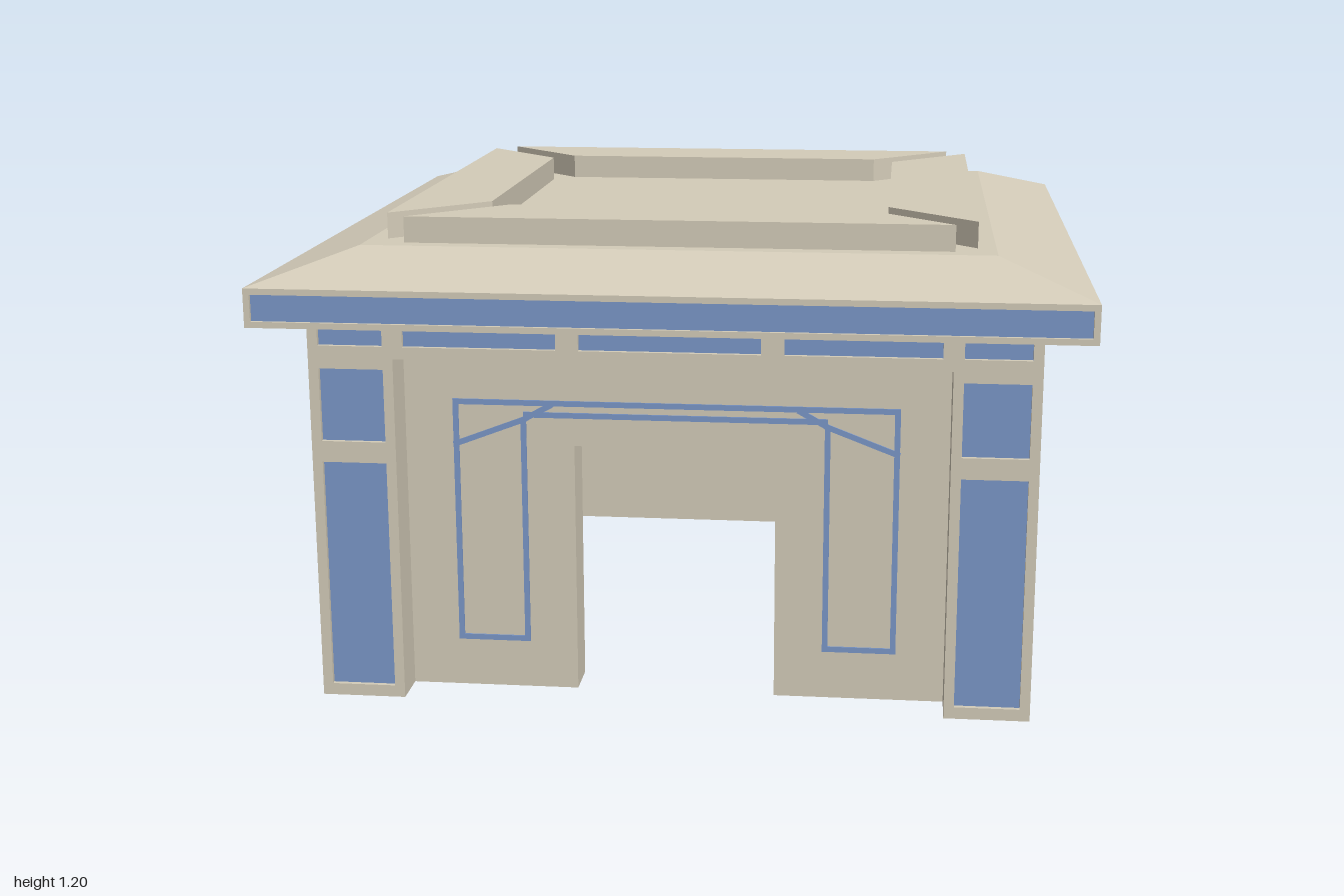
import * as THREE from 'three';

const stone = new THREE.MeshStandardMaterial({ color: 0xd4ccb9, flatShading: true });
const blue = new THREE.MeshStandardMaterial({ color: 0x7b97c8, flatShading: true });

function add(parent, name, geometry, material = stone) {
  const mesh = new THREE.Mesh(geometry, material);
  mesh.name = name;
  parent.add(mesh);
  return mesh;
}

// box given by its minimum and maximum corners
function box(parent, name, [x0, y0, z0], [x1, y1, z1], material) {
  const mesh = add(parent, name, new THREE.BoxGeometry(x1 - x0, y1 - y0, z1 - z0), material);
  mesh.position.set((x0 + x1) / 2, (y0 + y1) / 2, (z0 + z1) / 2);
  return mesh;
}

const toPath = (Type, points) => new Type(points.map(([x, y]) => new THREE.Vector2(x, y)));
const rect = ([x0, y0, x1, y1]) => [[x0, y0], [x1, y0], [x1, y1], [x0, y1]];

// plate with rectangular holes, its outer face at z = front
function plate(parent, name, outline, holes, front, depth) {
  const shape = toPath(THREE.Shape, outline);
  shape.holes = holes.map((h) => toPath(THREE.Path, rect(h).reverse()));
  const geometry = new THREE.ExtrudeGeometry(shape, { depth, bevelEnabled: false });
  add(parent, name, geometry.translate(0, 0, front - depth));
}

// blue inlay lying at the bottom of a recess
function inlay(parent, name, [x0, y0, x1, y1], front) {
  box(parent, name, [x0, y0, front - 0.004], [x1, y1, front], blue);
}

// flat strip from a to b on the front wall
function strip(parent, a, b, width = 0.014) {
  const dx = b[0] - a[0], dy = b[1] - a[1];
  const mesh = add(parent, 'doorTrim', new THREE.BoxGeometry(Math.hypot(dx, dy) + width, width, 0.008), blue);
  mesh.position.set((a[0] + b[0]) / 2, (a[1] + b[1]) / 2, 0.78);
  mesh.rotation.z = Math.atan2(dy, dx);
}

// pillars, top band, cornice edge and roof ridge of one side, built facing +z
function buildSide(isFront) {
  const side = new THREE.Group();
  const panels = [];
  for (const s of [-1, 1]) {
    const [x0, x1] = s > 0 ? [0.7, 0.86] : [-0.86, -0.7];
    panels.push([x0, 0.03, x1, 0.612], [x0, 0.665, x1, 0.848], [x0, 0.905, x1, 0.945]);
  }
  if (isFront) panels.push([-0.65, 0.905, -0.275, 0.945], [-0.22, 0.905, 0.22, 0.945], [0.275, 0.905, 0.65, 0.945]);
  else panels.push([-0.65, 0.905, 0.65, 0.945]);

  const outline = [[-0.885, 0], [-0.675, 0], [-0.675, 0.875], [0.675, 0.875],
    [0.675, 0], [0.885, 0], [0.885, 0.97], [-0.885, 0.97]];
  plate(side, 'pillarFacing', outline, panels, 0.885, 0.015);
  panels.forEach((p) => inlay(side, 'facingInlay', p, 0.873));
  box(side, 'cornerPillar', [0.675, 0, 0.675], [0.87, 0.97, 0.87]);
  box(side, 'topBand', [-0.68, 0.875, 0.67], [0.68, 0.97, 0.87]);

  // cornice edge with a long inlay
  const edge = [-0.985, 0.985, 0.985, 1.05];
  plate(side, 'corniceEdge', rect([-1, 0.97, 1, 1.065]), [edge], 1, 0.012);
  inlay(side, 'corniceInlay', edge, 0.991);

  // raised trapezoid on the roof
  const ridge = toPath(THREE.Shape, [[-0.675, -0.73], [0.675, -0.73], [0.455, -0.51], [-0.455, -0.51]]);
  const ridgeGeometry = new THREE.ExtrudeGeometry(ridge, { depth: 0.08, bevelEnabled: false });
  add(side, 'roofRidge', ridgeGeometry.rotateX(-Math.PI / 2).translate(0, 1.12, 0));
  return side;
}

// wall with a framed recessed panel
function panelWall(side, halfWidth) {
  const recess = [-0.585, 0.09, 0.585, 0.787];
  plate(side, 'wallFrame', rect([-0.68, 0, 0.68, 0.9]), [recess], 0.78, 0.02);
  box(side, 'wallCore', [-halfWidth, 0, 0.67], [halfWidth, 0.97, 0.76]);
  inlay(side, 'wallPanelBorder', recess, 0.762);
  box(side, 'wallPanel', [-0.48, 0.2, 0.755], [0.48, 0.68, 0.764]);
}

// wall with the open doorway and its trim lines
function doorWall(side) {
  const outline = [[-0.76, 0], [-0.25, 0], [-0.25, 0.64], [0.25, 0.64],
    [0.25, 0], [0.76, 0], [0.76, 0.97], [-0.76, 0.97]];
  plate(side, 'doorWall', outline, [], 0.78, 0.11);
  for (const s of [-1, 1]) {
    const line = [[0.377, 0.7], [0.377, 0.13], [0.547, 0.13], [0.547, 0.748]];
    const brace = [[0.547, 0.64], [0.377, 0.705], [0.31, 0.742]];
    for (const points of [line, brace]) {
      for (let i = 1; i < points.length; i++) {
        strip(side, [s * points[i - 1][0], points[i - 1][1]], [s * points[i][0], points[i][1]]);
      }
    }
  }
  strip(side, [-0.547, 0.748], [0.547, 0.748]);
  strip(side, [-0.37, 0.718], [0.37, 0.718]);
}

export function createModel() {
  const model = new THREE.Group();
  model.name = 'pavilion';

  ['frontSide', 'leftSide', 'backSide', 'rightSide'].forEach((name, i) => {
    const side = buildSide(i === 0);
    side.name = name;
    if (i === 0) doorWall(side);
    else panelWall(side, i === 2 ? 0.76 : 0.68);
    side.rotation.y = i * Math.PI / 2;
    model.add(side);
  });

  // roof slab and sloped roof
  box(model, 'roofSlab', [-0.988, 0.97, -0.988], [0.988, 1.065, 0.988]);
  const slope = new THREE.CylinderGeometry(0.775 * Math.SQRT2, Math.SQRT2, 0.07, 4, 1);
  add(model, 'roofSlope', slope.rotateY(Math.PI / 4).translate(0, 1.1, 0));
  return model;
}
